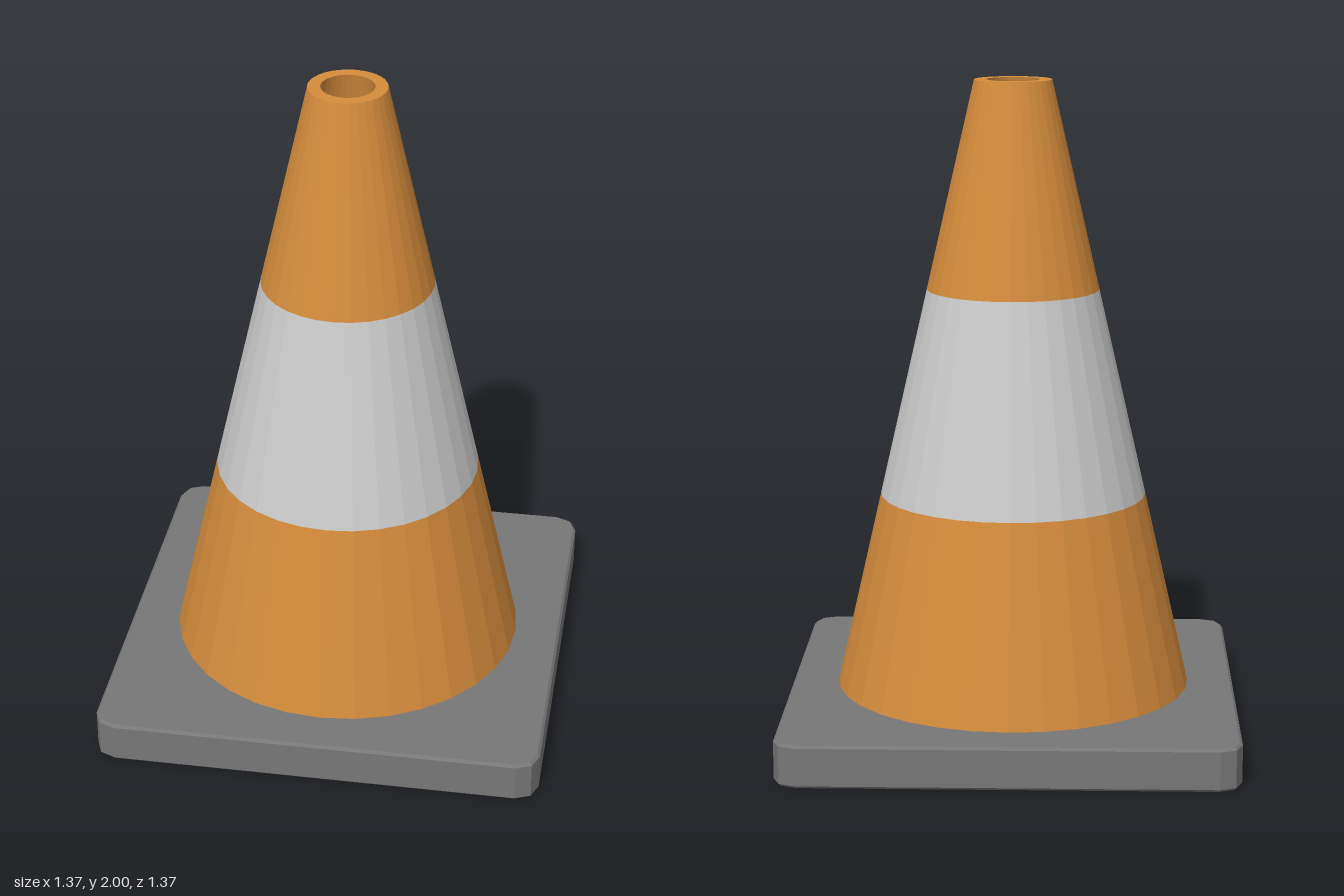
import * as THREE from 'three';

const SIDES = 32;
const BASE_TOP = 0.13, TOP = 2;
const BASE_RADIUS = 0.545, TOP_RADIUS = 0.118;

const orange = new THREE.MeshStandardMaterial({ color: 0xd58c3c, flatShading: true });
const white = new THREE.MeshStandardMaterial({ color: 0xcccccc, flatShading: true });
const grey = new THREE.MeshStandardMaterial({ color: 0x777777, flatShading: true });

// Outer radius of the cone at a given height
const radiusAt = (y) =>
  THREE.MathUtils.mapLinear(y, BASE_TOP, TOP, BASE_RADIUS, TOP_RADIUS);

function lathe(name, profile, material) {
  const points = profile.map(([r, y]) => new THREE.Vector2(r, y));
  const mesh = new THREE.Mesh(new THREE.LatheGeometry(points, SIDES), material);
  mesh.name = name;
  return mesh;
}

const band = (name, y0, y1, material) =>
  lathe(name, [[radiusAt(y0), y0], [radiusAt(y1), y1]], material);

// Square slab with faceted round corners, a fine bevel and a round hole
function createBase() {
  const half = 0.685, corner = 0.068, bevel = 0.008;
  const outline = [];
  for (let i = 0; i < 4; i++) {
    const start = (i * Math.PI) / 2;
    const cx = (i === 0 || i === 3 ? 1 : -1) * (half - corner);
    const cy = (i < 2 ? 1 : -1) * (half - corner);
    for (let j = 0; j <= 2; j++) {
      const a = start + (j * Math.PI) / 4;
      outline.push(new THREE.Vector2(cx + corner * Math.cos(a), cy + corner * Math.sin(a)));
    }
  }
  const shape = new THREE.Shape(outline);
  const hole = [];
  for (let i = 0; i < SIDES; i++) {
    const a = (-i / SIDES) * Math.PI * 2;
    hole.push(new THREE.Vector2(0.517 * Math.cos(a), 0.517 * Math.sin(a)));
  }
  shape.holes.push(new THREE.Path(hole));
  const geometry = new THREE.ExtrudeGeometry(shape, {
    depth: BASE_TOP - 2 * bevel,
    bevelThickness: bevel, bevelSize: bevel, bevelOffset: -bevel, bevelSegments: 1,
  });
  geometry.translate(0, 0, bevel).rotateX(-Math.PI / 2);
  const mesh = new THREE.Mesh(geometry, grey);
  mesh.name = 'base';
  return mesh;
}

export function createModel() {
  const group = new THREE.Group();
  group.name = 'trafficCone';
  group.add(
    createBase(),
    band('lowerCone', BASE_TOP, 0.73, orange),
    band('reflectiveBand', 0.73, 1.365, white),
    band('upperCone', 1.365, TOP, orange),
    // Top rim, hollow inside and bottom lip
    lathe('innerWall', [
      [TOP_RADIUS, TOP], [0.08, TOP], [0.508, BASE_TOP], [BASE_RADIUS, BASE_TOP],
    ], orange),
  );
  return group;
}
